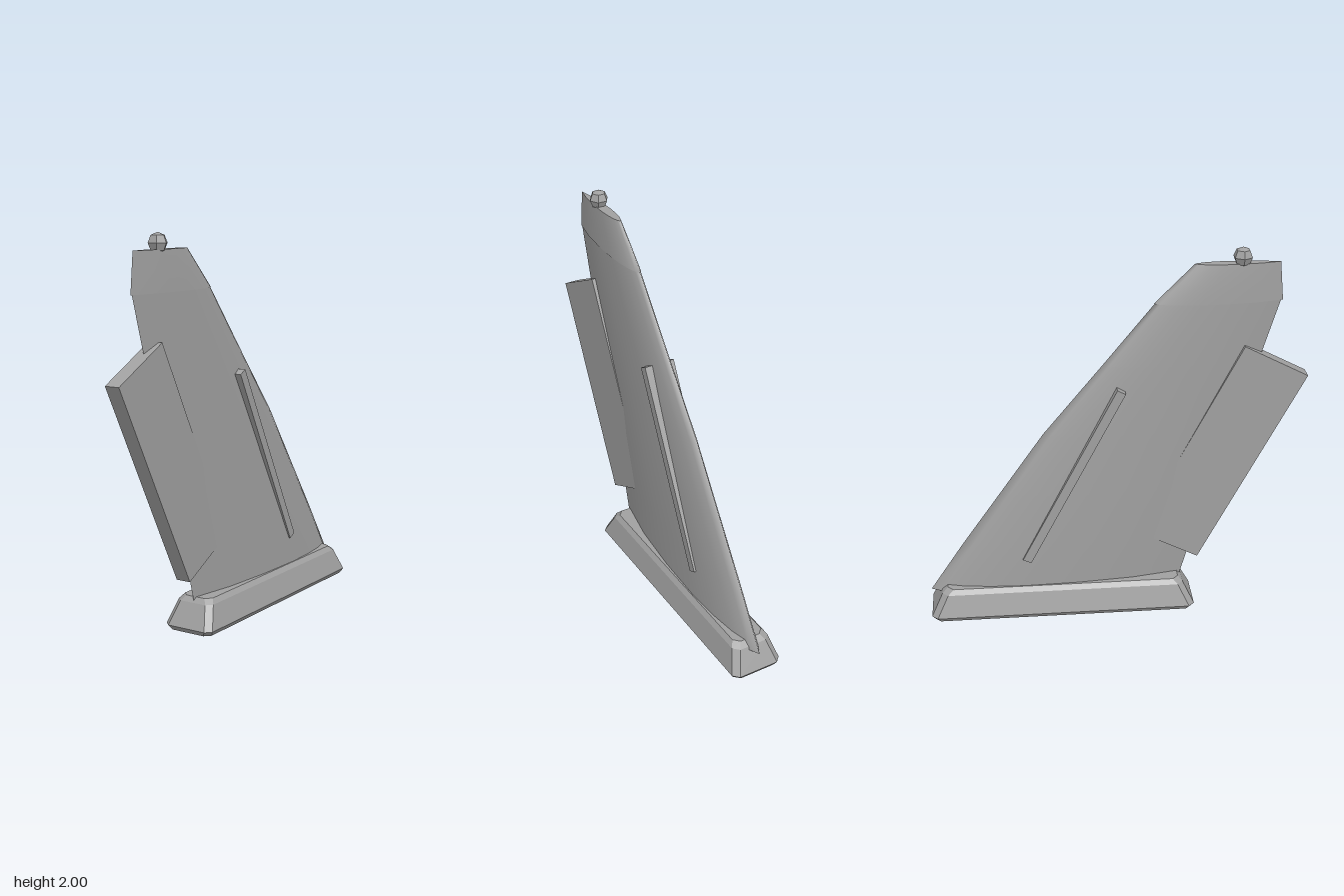
import * as THREE from 'three';

// Skins a stack of rings (each counter-clockwise seen from above) and caps both ends.
function loft(rings, flat) {
  const n = rings[0].length, pos = [], idx = [];
  rings.forEach(r => r.forEach(p => pos.push(...p)));
  for (let i = 0; i < rings.length - 1; i++) {
    for (let j = 0; j < n - 1; j++) {
      const a = i * n + j, b = a + 1, c = a + n, d = b + n;
      idx.push(a, b, d, a, d, c);
    }
  }
  for (const [ring, up] of [[rings[0], false], [rings[rings.length - 1], true]]) {
    const s = pos.length / 3;
    ring.forEach(p => pos.push(...p));
    for (let j = 1; j < n - 2; j++) idx.push(s, up ? s + j : s + j + 1, up ? s + j + 1 : s + j);
  }
  let g = new THREE.BufferGeometry();
  g.setAttribute('position', new THREE.Float32BufferAttribute(pos, 3));
  g.setIndex(idx);
  if (flat) g = g.toNonIndexed();
  g.computeVertexNormals();
  return g;
}

// Airfoil ring: fraction of chord from the leading edge, fraction of half thickness.
const FOIL = [[1, 0], [0.8, 0.6], [0.58, 0.9], [0.36, 1], [0.22, 0.88], [0.11, 0.65], [0.04, 0.34]];
function foilRing([y, lead, trail, half]) {
  const at = ([f, t], s) => [s * t * half, y, lead + (trail - lead) * f];
  const left = FOIL.map(p => at(p, 1));
  const right = FOIL.map(p => at(p, -1)).reverse();
  return [...left, at([0, 0], 1), ...right];
}

// Rectangle with cut corners, used for the foot.
function footRing([y, x, z0, z1]) {
  const c = 0.03;
  const ring = [[x - c, z1], [x, z1 - c], [x, z0 + c], [x - c, z0],
    [c - x, z0], [-x, z0 + c], [-x, z1 - c], [c - x, z1]];
  ring.push(ring[0]);
  return ring.map(([px, pz]) => [px, y, pz]);
}

export function createModel() {
  const model = new THREE.Group();
  model.name = 'tailFin';
  const grey = new THREE.MeshStandardMaterial({ color: 0xa0a0a0 });
  const add = (name, geometry) => {
    const mesh = new THREE.Mesh(geometry, grey);
    mesh.name = name;
    model.add(mesh);
    return mesh;
  };

  // Bevelled foot
  add('foot', loft([
    [0, 0.125, -0.965, 0.415], [0.025, 0.14, -0.98, 0.43],
    [0.145, 0.105, -0.92, 0.37], [0.17, 0.085, -0.89, 0.345],
  ].map(footRing), true));

  // Swept fin: height, leading edge z, trailing edge z, half thickness
  add('fin', loft([
    [0.13, -0.98, 0.355, 0.081], [0.4, -0.8, 0.43, 0.075], [0.7, -0.59, 0.525, 0.067],
    [1.03, -0.36, 0.625, 0.058], [1.4, -0.055, 0.74, 0.049], [1.72, 0.205, 0.835, 0.041],
  ].map(foilRing)));

  // Fin cap
  add('finCap', loft([
    [1.72, 0.2, 0.845, 0.044], [1.82, 0.3, 0.835, 0.038], [1.92, 0.4, 0.825, 0.028],
  ].map(foilRing)));

  // Plates tilted along the sweep: centre, thickness, length and width
  const slab = (name, y, z, thick, length, width) => {
    const mesh = add(name, new THREE.BoxGeometry(thick, length, width));
    mesh.position.set(0, y, z);
    mesh.rotation.x = 0.479;
  };
  slab('rudder', 0.885, 0.555, 0.08, 1.172, 0.371);
  slab('sideRibs', 0.803, -0.214, 0.166, 1.085, 0.048);

  // Beacon on top
  const ball = new THREE.SphereGeometry(0.05, 6, 4).toNonIndexed();
  ball.computeVertexNormals();
  add('beacon', ball).position.set(0, 1.95, 0.635);

  return model;
}
